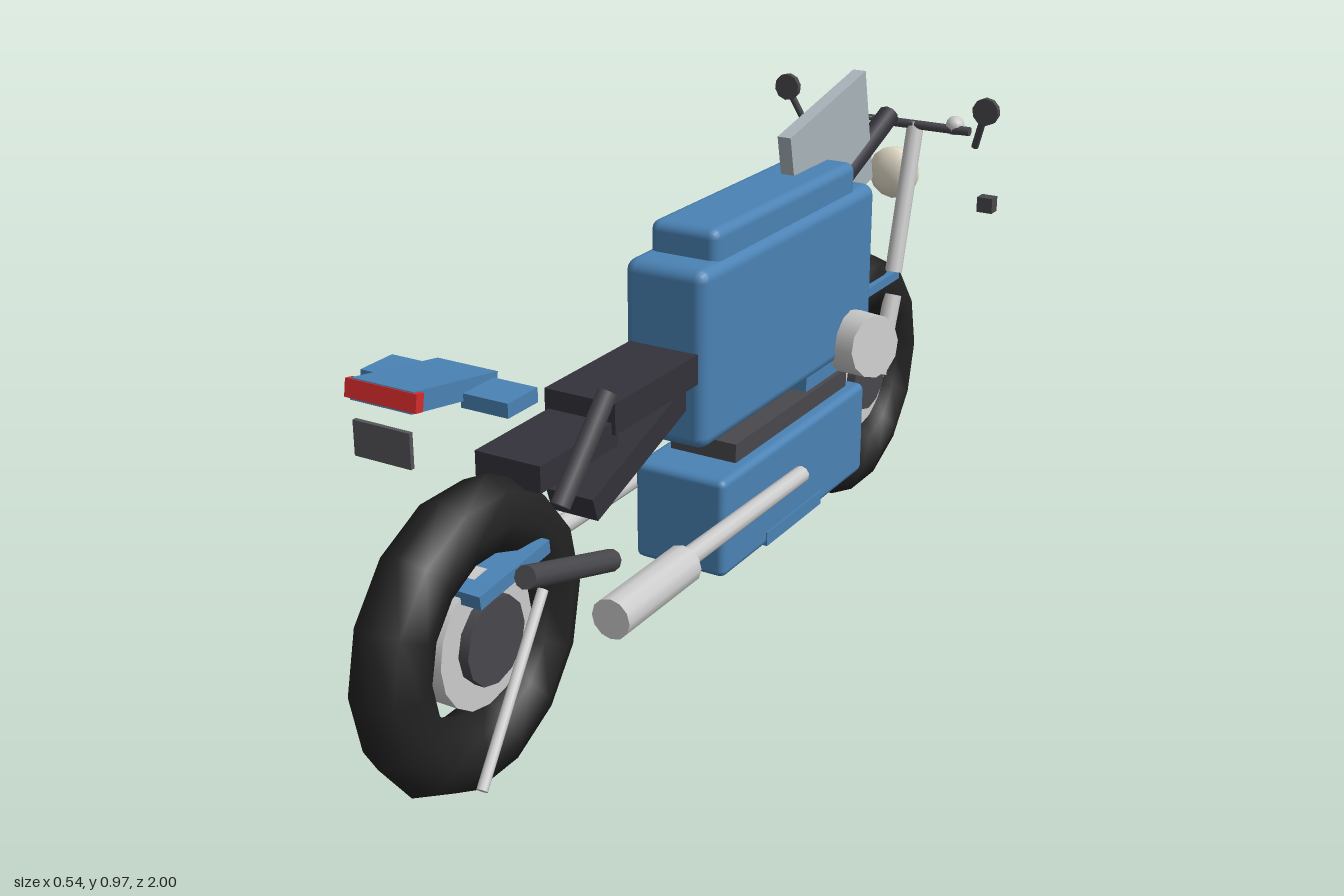
import * as THREE from 'three';
import { RoundedBoxGeometry } from 'three/addons/geometries/RoundedBoxGeometry.js';

const mat = (color, flatShading = false) => new THREE.MeshStandardMaterial({ color, flatShading });
const BLUE = mat(0x4a82b4), DARK = mat(0x34323a), STEEL = mat(0x48484d), TYRE = mat(0x222222, false);
const CHROME = mat(0xcccccc), CREAM = mat(0xe6dfcb), RED = mat(0xd42a2a), GLASS = mat(0xa9b3ba), PLATE = mat(0x55555a);

export function createModel() {
  const root = new THREE.Group();
  root.name = 'motorcycle';

  const add = (name, geo, material, pos = [0, 0, 0], rot = [0, 0, 0]) => {
    const m = new THREE.Mesh(geo, material);
    m.name = name;
    m.position.set(...pos);
    m.rotation.set(...rot);
    root.add(m);
    return m;
  };
  const box = (name, material, size, pos, tilt = 0) =>
    add(name, new THREE.BoxGeometry(...size), material, pos, [tilt, 0, 0]);
  const soft = (name, material, size, pos, r = 0.02, tilt = 0) =>
    add(name, new RoundedBoxGeometry(...size, 2, r), material, pos, [tilt, 0, 0]);
  // Round bar between two points
  const rod = (name, material, a, b, r0, r1 = r0, sides = 10) => {
    const A = new THREE.Vector3(...a), B = new THREE.Vector3(...b);
    const d = B.clone().sub(A);
    const m = add(name, new THREE.CylinderGeometry(r1, r0, d.length(), sides), material);
    m.position.copy(A).add(B).multiplyScalar(0.5);
    m.quaternion.setFromUnitVectors(new THREE.Vector3(0, 1, 0), d.normalize());
    return m;
  };

  // Wheels: tyre, rim disc and hub
  for (const [end, z] of [['rear', 0.716], ['front', -0.716]]) {
    add(end + 'Tyre', new THREE.TorusGeometry(0.213, 0.07, 8, 14), TYRE, [0, 0.279, z], [0, Math.PI / 2, 0])
      .scale.z = 0.93;
    add(end + 'Rim', new THREE.CylinderGeometry(0.127, 0.127, 0.07, 16), CHROME, [0, 0.285, z], [0, 0, Math.PI / 2]);
    add(end + 'Hub', new THREE.CylinderGeometry(0.08, 0.08, 0.11, 12), STEEL, [0, 0.285, z], [0, 0, Math.PI / 2]);
  }

  // Main body, top pad and lower fairing
  soft('body', BLUE, [0.18, 0.36, 0.73], [0, 0.58, -0.275], 0.025);
  soft('topPad', BLUE, [0.15, 0.12, 0.59], [0, 0.76, -0.275], 0.02);
  box('bodyUnderside', BLUE, [0.14, 0.06, 0.26], [0, 0.395, -0.5]);
  soft('lowerFairing', BLUE, [0.206, 0.21, 0.625], [0, 0.215, -0.277], 0.015);
  box('fairingTrim', BLUE, [0.212, 0.03, 0.24], [0, 0.126, -0.26]);
  box('engineTop', STEEL, [0.15, 0.06, 0.49], [0, 0.33, -0.305]);
  box('engineMount', DARK, [0.1, 0.11, 0.12], [0, 0.35, -0.5]);

  // Tail frame
  box('seatFront', DARK, [0.15, 0.06, 0.29], [0, 0.568, 0.23]);
  box('seatRear', DARK, [0.135, 0.05, 0.24], [0, 0.535, 0.475]);
  box('frameStrut', DARK, [0.1, 0.05, 0.35], [0, 0.455, 0.24], 0.33);

  // Rear fender and tail section
  box('rearFender', BLUE, [0.15, 0.025, 0.2], [0, 0.4, 0.683], 0.1);
  box('tail', BLUE, [0.12, 0.035, 0.215], [0, 0.762, 0.8], -0.17);
  box('tailLight', RED, [0.138, 0.03, 0.018], [0, 0.78, 0.9], -0.17);
  box('plate', PLATE, [0.11, 0.06, 0.008], [0, 0.702, 0.908]);
  box('frontFender', BLUE, [0.14, 0.02, 0.22], [0, 0.5, -0.71]);

  // Steering neck and screen
  rod('neck', DARK, [0, 0.715, -0.55], [0, 0.845, -0.88], 0.025);
  box('screen', GLASS, [0.03, 0.255, 0.35], [0, 0.815, -0.58], 0.215);
  rod('handlebar', STEEL, [-0.19, 0.828, -0.9], [0.19, 0.828, -0.9], 0.01);

  // Headlight bowl
  const bowl = [[0, 0], [0.035, 0], [0.06, 0.022], [0.058, 0.04], [0.04, 0.052], [0, 0.055]]
    .map(([r, y]) => new THREE.Vector2(r, y));
  add('headlight', new THREE.LatheGeometry(bowl, 14), CREAM, [0, 0.705, -0.895], [-Math.PI / 2, 0, 0]);

  // Air cleaner on the left flank
  add('airCleaner', new THREE.CylinderGeometry(0.068, 0.07, 0.08, 12), CHROME, [0.125, 0.437, -0.52],
    [0, -0.36, -Math.PI / 2 + 0.1]);

  // Stand and rear strut
  rod('kickstand', CHROME, [0.055, 0.32, 0.58], [0.098, 0.07, 0.83], 0.01);
  rod('rearStrut', STEEL, [0.11, 0.5, 0.6], [0.126, 0.665, 0.475], 0.018);

  // Paired parts
  for (const s of [1, -1]) {
    rod('forkUpper', CHROME, [s * 0.055, 0.83, -0.91], [s * 0.065, 0.51, -0.8], 0.019);
    rod('forkLower', CHROME, [s * 0.07, 0.46, -0.79], [s * 0.07, 0.29, -0.725], 0.02);
    rod('swingArm', STEEL, [s * 0.078, 0.305, 0.4], [s * 0.106, 0.41, 0.7], 0.021);
    rod('exhaustPipe', CHROME, [s * 0.14, 0.25, -0.22], [s * 0.14, 0.255, 0.29], 0.018, 0.02);
    rod('muffler', CHROME, [s * 0.154, 0.262, 0.275], [s * 0.154, 0.262, 0.52], 0.039, 0.039, 12);
    box('tailWing', BLUE, [0.09, 0.025, 0.08], [s * 0.1, 0.742, 0.743]);
    add('gripCap', new THREE.SphereGeometry(0.022, 8, 6), CHROME, [s * 0.15, 0.835, -0.91]);
    rod('mirrorStem', STEEL, [s * 0.21, 0.8, -0.885], [s * 0.236, 0.87, -0.86], 0.008);
    add('mirror', new THREE.CylinderGeometry(0.03, 0.03, 0.014, 10), STEEL, [s * 0.243, 0.888, -0.857],
      [Math.PI / 2, s * 0.1, 0]);
    box('indicator', STEEL, [0.036, 0.034, 0.03], [s * 0.236, 0.667, -0.91]);
  }
  return root;
}
